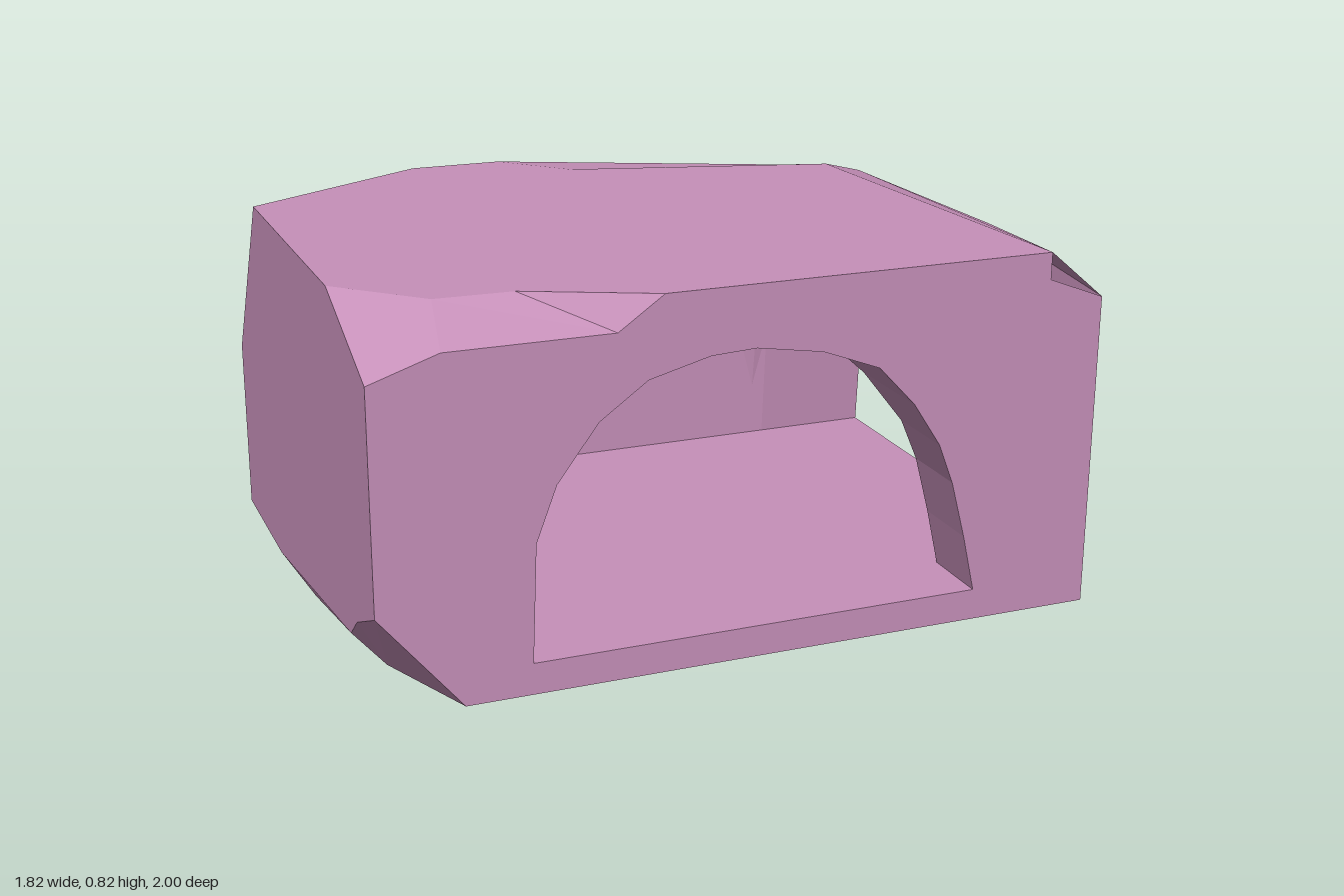
import * as THREE from 'three';

const W = 0.643, D = 0.81, H = 0.82, FLOOR = 0.07;

// Corner points of the chipped block, in its own unrotated frame
const V = {
  // left front top chip
  d0: [-W, 0, D], d1: [-W, H, 0.36], d2: [-W, 0.56, 0.72], d3: [-W, 0.41, D], d4: [-0.38, H, D],
  // right front top chip
  c1: [0.345, H, D], c2: [0.515, H, 0.64], c3: [0.52, H, 0.47], c4: [W, H, 0.2],
  c5: [W, 0.75, 0.3], c6: [W, 0.75, 0.66], c7: [W, 0.7, D],
  // right front undercut
  e1: [W, 0.22, D], e2: [W, 0, 0.63], e3: [0.4, 0, 0.73], e4: [0, 0, 0.79],
  e5: [-0.28, 0, D], e6: [0.43, 0.1, D], e7: [0.49, 0.15, D],
  // right back corner
  b0: [W, 0, -D], b1: [W, H, -0.68], b2: [W, 0.76, -0.68], b3: [W, 0.71, -D], b4: [0.16, 0.76, -D],
  // bend line of the roof
  t1: [-0.32, H, -0.62], t2: [-0.49, H, 0], t3: [-W, H, 0.14],
  // left back corner
  a1: [-0.51, 0.75, -D], a2: [-W, 0.75, -0.65], a3: [-W, 0.64, -D],
  a4: [-W, 0.04, -D], a5: [-0.52, 0, -D], a6: [-W, 0, -0.7],
};

// Arch outlines: [position across the opening, height]
const sideArch = [
  [0.485, FLOOR], [0.475, 0.33], [0.43, 0.45], [0.34, 0.57], [0.235, 0.645], [0.1, 0.68], [0, 0.685],
  [-0.15, 0.66], [-0.28, 0.61], [-0.365, 0.52], [-0.43, 0.42], [-0.465, 0.33], [-0.5, 0.2], [-0.53, FLOOR],
];
const backArch = [
  [-0.48, FLOOR], [-0.46, 0.35], [-0.39, 0.5], [-0.28, 0.6], [-0.1, 0.64],
  [0.1, 0.64], [0.3, 0.6], [0.41, 0.5], [0.47, 0.35], [0.48, FLOOR],
];

const material = new THREE.MeshStandardMaterial({ color: 0xc690b9, flatShading: true, side: THREE.DoubleSide });

function meshFrom(points, name) {
  const g = new THREE.BufferGeometry().setFromPoints(points);
  g.computeVertexNormals();
  const mesh = new THREE.Mesh(g, material);
  mesh.name = name;
  return mesh;
}

// Fills a polygon of named corners, with an optional hole, facing outwards
function panel(name, corners, hole = []) {
  const outline = corners.split(' ').map(k => new THREE.Vector3(...V[k]));
  const n = new THREE.Vector3();
  outline.forEach((p, i) => n.add(p.clone().cross(outline[(i + 1) % outline.length])));
  const [ax, ay, az] = n.toArray().map(Math.abs);
  const flat = p => ax >= ay && ax >= az ? new THREE.Vector2(p.z, p.y)
    : ay >= az ? new THREE.Vector2(p.x, p.z) : new THREE.Vector2(p.x, p.y);
  const all = [...outline, ...hole];
  const tris = THREE.ShapeUtils.triangulateShape(outline.map(flat), hole.length ? [hole.map(flat)] : []);
  const centre = new THREE.Vector3(0, 0.4, 0);
  const out = [];
  for (const t of tris) {
    const [a, b, c] = t.map(i => all[i]);
    const normal = b.clone().sub(a).cross(c.clone().sub(a));
    const outward = a.clone().add(b).add(c).divideScalar(3).sub(centre);
    out.push(...(normal.dot(outward) < 0 ? [a, c, b] : [a, b, c]));
  }
  return meshFrom(out, name);
}

// Walls and vault where the two arched passages meet at a right angle
function vault() {
  const cols = [[-0.48, null], ...backArch, [W, FLOOR]];
  const rows = [...sideArch, [-D, FLOOR]];
  const at = (i, j) => {
    const [x, hx] = cols[i], [z, hz] = rows[j];
    const y = hx === null ? FLOOR : z > 0 ? hz : Math.max(hx, hz);
    return new THREE.Vector3(x, y, z);
  };
  const out = [];
  for (let i = 0; i < cols.length - 1; i++) {
    for (let j = 0; j < rows.length - 1; j++) {
      const a = at(i, j), b = at(i + 1, j), c = at(i + 1, j + 1), d = at(i, j + 1);
      if ([a, b, c, d].every(p => p.y === FLOOR)) continue;
      out.push(a, b, c, a, c, d);
    }
  }
  return meshFrom(out, 'vault');
}

export function createModel() {
  const block = new THREE.Group();
  block.name = 'hollowBlock';
  block.rotation.y = -0.408;

  // Main faces
  block.add(
    panel('roof', 'd1 d4 c1 c2 c3 c4 b1 t1 t2 t3'),
    panel('frontWall', 'd0 e5 e6 e7 e1 c7 c1 d4 d3'),
    panel('leftWall', 'a6 a4 a3 a2 t3 d1 d2 d3 d0'),
    panel('archedSideWall', 'e2 e1 c7 c6 c5 c4 b1 b2 b3 b0', sideArch.map(([z, y]) => new THREE.Vector3(W, y, z))),
    panel('archedBackWall', 'b0 b3 b4 a1 a3 a4 a5', backArch.map(([x, y]) => new THREE.Vector3(x, y, -D))),
    panel('underside', 'd0 e5 e4 e3 e2 b0 a5 a6'),
  );

  // Sloping roof edges and chipped corners
  const chips = {
    roofSlope: ['b1 t1 a1 b4', 't1 t2 a2 a1', 't2 t3 a2'],
    rightBackChip: ['b1 b2 b3 b4'],
    leftBackChip: ['a1 a2 a3', 'a4 a5 a6'],
    leftFrontChip: ['d1 d2 d3 d4'],
    rightFrontChip: ['c1 c2 c6 c7', 'c2 c3 c5 c6', 'c3 c4 c5'],
    undercut: ['e1 e7 e3 e2', 'e7 e6 e4 e3', 'e6 e5 e4'],
  };
  for (const [name, faces] of Object.entries(chips)) {
    for (const f of faces) block.add(panel(name, f));
  }

  // Hollow interior
  block.add(vault());
  const floor = new THREE.Mesh(new THREE.PlaneGeometry(W + 0.48, D + 0.485).rotateX(-Math.PI / 2), material);
  floor.name = 'floor';
  floor.position.set((W - 0.48) / 2, FLOOR, (0.485 - D) / 2);
  block.add(floor);

  const model = new THREE.Group();
  model.name = 'model';
  model.add(block);
  return model;
}
